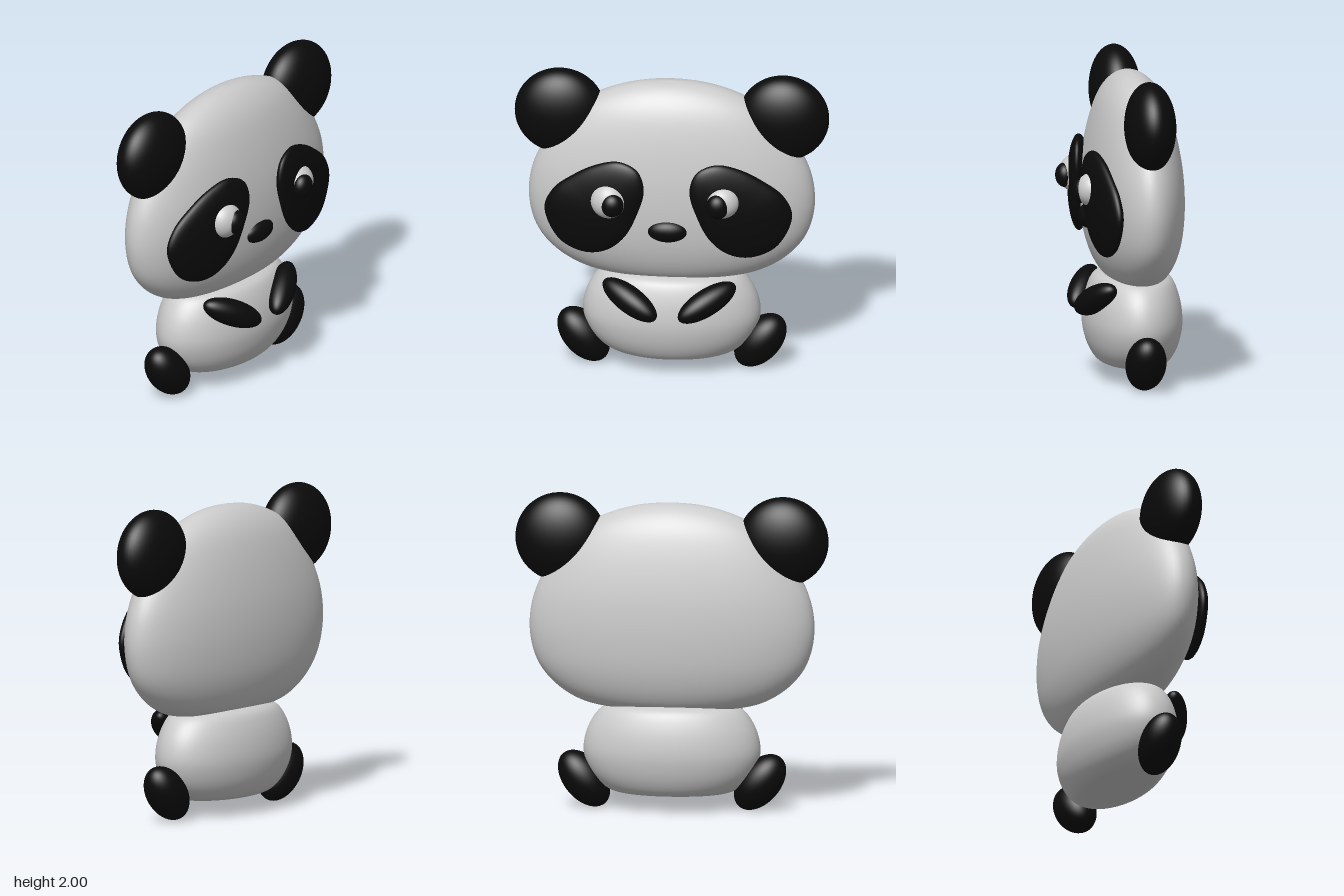
import * as THREE from 'three';
import { mergeVertices } from 'three/addons/utils/BufferGeometryUtils.js';

const grey = new THREE.MeshStandardMaterial({ color: 0xcccccc });
const black = new THREE.MeshStandardMaterial({ color: 0x0a0a0a });
const MID_Z = -0.062;

function add(group, name, geometry, material, position = [0, 0, 0]) {
  const mesh = new THREE.Mesh(geometry, material);
  mesh.name = name;
  mesh.position.set(...position);
  group.add(mesh);
  return mesh;
}

// Ellipsoid whose long (x) axis points along dir
function ellipsoid(group, name, material, position, radii, dir = [1, 0, 0]) {
  const mesh = add(group, name, new THREE.SphereGeometry(1, 48, 32), material, position);
  mesh.scale.set(...radii);
  mesh.quaternion.setFromUnitVectors(new THREE.Vector3(1, 0, 0), new THREE.Vector3(...dir).normalize());
  return mesh;
}

// Smooth turned solid, flattened front to back
function flattenedLathe(group, name, profile, depth) {
  const curve = new THREE.CatmullRomCurve3(profile.map(([x, y]) => new THREE.Vector3(x, y, 0)), false, 'centripetal');
  const points = curve.getPoints(72).map(p => new THREE.Vector2(Math.max(p.x, 0), p.y));
  const geometry = new THREE.LatheGeometry(points, 80);
  geometry.scale(1, 1, depth);
  geometry.computeVertexNormals();
  geometry.deleteAttribute('uv');
  geometry.deleteAttribute('normal');
  const smooth = mergeVertices(geometry, 1e-4);
  smooth.computeVertexNormals();
  return add(group, name, smooth, grey, [0, 0, MID_Z]);
}

// Lens-shaped pad with a free outline, leaning back towards the side of the head
function eyePatch(side) {
  const centre = new THREE.Vector2(0.45, 1.18);
  const outline = new THREE.CatmullRomCurve3([
    [0.775, 1.13], [0.72, 1.27], [0.60, 1.375], [0.45, 1.465], [0.30, 1.505], [0.18, 1.455],
    [0.138, 1.33], [0.185, 1.15], [0.265, 0.99], [0.38, 0.89], [0.52, 0.862], [0.68, 0.93],
  ].map(([x, y]) => new THREE.Vector3(x, y, 0)), true);
  let geometry = new THREE.SphereGeometry(1, 64, 32);
  geometry.rotateX(Math.PI / 2);
  const pos = geometry.attributes.position;
  for (let i = 0; i < pos.count; i++) {
    const r = Math.hypot(pos.getX(i), pos.getY(i));
    const turn = Math.atan2(pos.getY(i), pos.getX(i)) / (2 * Math.PI);
    const edge = outline.getPoint((turn + 1) % 1);
    const x = (edge.x - centre.x) * r;
    const y = (edge.y - centre.y) * r;
    pos.setXYZ(i, side * (centre.x + x), centre.y + y, 0.2 - 0.2 * x + 0.075 * pos.getZ(i));
  }
  geometry.deleteAttribute('uv');
  geometry.deleteAttribute('normal');
  // Mirroring reverses the corners, so turn them back
  if (side < 0) geometry.index.array.reverse();
  geometry = mergeVertices(geometry, 1e-4);
  geometry.computeVertexNormals();
  return geometry;
}

export function createModel() {
  const model = new THREE.Group();
  model.name = 'panda';

  // Head and body
  flattenedLathe(model, 'head', [
    [0, 0.643], [0.22, 0.644], [0.42, 0.652], [0.58, 0.69], [0.74, 0.79], [0.85, 0.93], [0.9, 1.12],
    [0.885, 1.31], [0.82, 1.48], [0.71, 1.65], [0.58, 1.78], [0.42, 1.87], [0.22, 1.93], [0, 1.952],
  ], 0.337);
  flattenedLathe(model, 'body', [
    [0, 0.105], [0.2, 0.105], [0.35, 0.11], [0.43, 0.145], [0.51, 0.23], [0.555, 0.34], [0.555, 0.43],
    [0.52, 0.54], [0.45, 0.635], [0.37, 0.67], [0.2, 0.682], [0, 0.685],
  ], 0.552);

  for (const side of [1, -1]) {
    const label = side > 0 ? 'left' : 'right';
    // Ears, arms and feet
    ellipsoid(model, label + 'Ear', black, [side * 0.705, 1.717, MID_Z - 0.003], [0.286, 0.283, 0.16]);
    ellipsoid(model, label + 'Arm', black, [side * 0.243, 0.548, 0.208], [0.212, 0.085, 0.085], [side * 0.8, 0.42, -0.42]);
    ellipsoid(model, label + 'Foot', black, [side * 0.557, 0.181, MID_Z], [0.205, 0.13, 0.128], [side * 0.64, 0.77, 0]);
    add(model, label + 'EyePatch', eyePatch(side), black, [side > 0 ? 0 : -0.012, 0, 0]);
  }

  // Eyes, both glancing slightly inwards
  ellipsoid(model, 'leftEyeball', grey, [0.343, 1.265, 0.245], [0.11, 0.108, 0.1]);
  ellipsoid(model, 'leftPupil', black, [0.318, 1.257, 0.312], [0.072, 0.08, 0.058]);
  ellipsoid(model, 'rightEyeball', grey, [-0.37, 1.247, 0.245], [0.117, 0.117, 0.1]);
  ellipsoid(model, 'rightPupil', black, [-0.345, 1.242, 0.312], [0.072, 0.077, 0.058]);

  // Nose
  ellipsoid(model, 'nose', black, [-0.004, 1.037, 0.22], [0.126, 0.073, 0.06]);

  return model;
}
